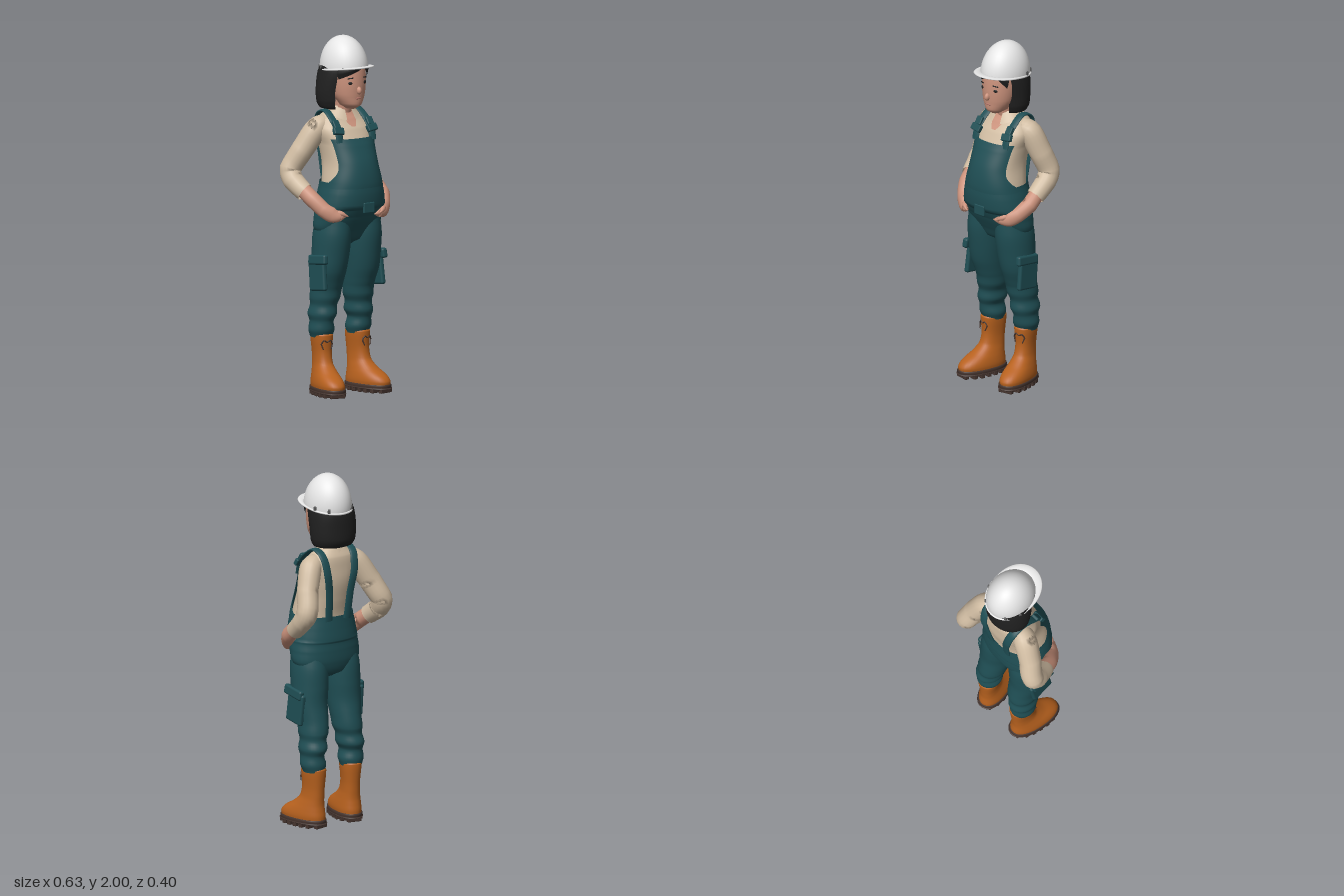
import * as THREE from 'three';
import { ParametricGeometry } from 'three/addons/geometries/ParametricGeometry.js';
import { RoundedBoxGeometry } from 'three/addons/geometries/RoundedBoxGeometry.js';

const mat = (name, color) => new THREE.MeshStandardMaterial({ name, color, side: THREE.DoubleSide });
const M = {
  skin: mat('skin', 0xcb927c), hair: mat('hair', 0x202020), shirt: mat('shirt', 0xd0bca2),
  overalls: mat('overalls', 0x1f4e54), boot: mat('boot', 0xb7611e), sole: mat('sole', 0x46352f),
  helmet: mat('helmet', 0xe6e6e6), clip: mat('clip', 0x5a5a5a), lips: mat('lips', 0xb5766a),
};
const { sin, cos, PI, abs, sign, min, max, floor } = Math;
const CX = 0.03; // the body's middle

// Smooth interpolation along rows of numbers; the first column stays linear
function at(keys, f) {
  const n = keys.length - 1, i = max(0, min(floor(f), n - 1)), s = f - i;
  const [a, b, c, d] = [keys[max(i - 1, 0)], keys[i], keys[i + 1], keys[min(i + 2, n)]];
  return b.map((q, k) => {
    if (k === 0) return q + (c[0] - q) * s;
    const cubic = 3 * (q - c[k]) + d[k] - a[k];
    const square = 2 * a[k] - 5 * q + 4 * c[k] - d[k];
    return q + 0.5 * s * (c[k] - a[k] + s * (square + s * cubic));
  });
}
function atY(keys, y) {
  let i = 0;
  while (i < keys.length - 2 && y > keys[i + 1][0]) i++;
  return at(keys, i + (y - keys[i][0]) / (keys[i + 1][0] - keys[i][0]));
}
// Point on a horizontal ring [y, cx, cz, rx, rz]; angle 0 faces the front
function onRing([y, cx, cz, rx, rz], a, out, pow, p) {
  const q = (v) => sign(v) * abs(v) ** pow;
  return p.set(cx + (rx + out) * q(sin(a)), y, cz + (rz + out) * q(cos(a)));
}
const surface = (fn, nu, nv) => new ParametricGeometry(fn, nu, nv);
// Stack of horizontal rings, optionally open at the front by an angle
const loft = (keys, { pow = 1, open = 0 } = {}) => surface((u, v, p) =>
  onRing(at(keys, v * (keys.length - 1)), open + u * 2 * (PI - open), 0, pow, p), 32, (keys.length - 1) * 4);
// Tube along rows [x, y, z, r1, r2], r1 lying along ref
function limb(keys, ref, nu = 18) {
  const n = keys.length - 1, t = new THREE.Vector3(), e1 = new THREE.Vector3(), e2 = new THREE.Vector3();
  return surface((u, v, p) => {
    const k = at(keys, v * n), h = 0.02, lo = at(keys, max(0, v * n - h)), hi = at(keys, min(n, v * n + h));
    t.set(hi[0] - lo[0], hi[1] - lo[1], hi[2] - lo[2]).normalize();
    e2.crossVectors(t, ref).normalize();
    e1.crossVectors(e2, t);
    const a = u * 2 * PI;
    p.set(k[0], k[1], k[2]).addScaledVector(e1, k[3] * cos(a)).addScaledVector(e2, k[4] * sin(a));
  }, nu, n * 5);
}

const TORSO = [[1.1, CX, .045, .18, .14], [1.2, CX, .045, .16, .145], [1.3, CX, .025, .142, .147], [1.4, CX, -.005, .148, .135],
  [1.48, CX, -.027, .165, .113], [1.54, CX, -.048, .14, .088], [1.58, CX, -.052, .09, .065], [1.61, CX, -.045, .055, .05]];
const PELVIS = [[.84, CX, 0, .04, .04], [.87, CX, 0, .14, .09], [.93, CX, .005, .203, .115], [1, CX, .02, .208, .135],
  [1.045, CX, .032, .203, .147], [1.06, CX, .038, .203, .158], [1.13, CX, .044, .19, .16], [1.2, CX, .045, .173, .157]];
const LEG = [[.32, -.095, -.06, .06, .065], [.36, -.097, -.055, .071, .076], [.41, -.1, -.05, .062, .076], [.45, -.095, -.05, .076, .091],
  [.5, -.09, -.045, .07, .083], [.54, -.085, -.04, .081, .093], [.6, -.081, -.03, .083, .095], [.7, -.083, -.005, .095, .105],
  [.8, -.078, .005, .1, .115], [.9, -.075, .013, .1, .12], [1, -.07, .02, .09, .11]];
const HEAD = [[1.6, CX, .045, .025, .035], [1.62, CX, .043, .055, .068], [1.67, CX, .03, .085, .088], [1.74, CX, .015, .1, .107],
  [1.82, CX, 0, .104, .117], [1.88, CX, 0, .09, .1]];
const HAIR = [[1.59, .02, -.055, .08, .06], [1.6, .02, -.05, .115, .092], [1.63, .02, -.052, .13, .108], [1.7, .02, -.05, .136, .115],
  [1.8, .025, -.038, .13, .126], [1.88, CX, -.02, .108, .115]];
const SLEEVES = [
  [[-.06, 1.51, -.05, .05, .05], [-.12, 1.485, -.065, .065, .065], [-.195, 1.37, -.1, .062, .064], [-.25, 1.265, -.137, .06, .06],
    [-.256, 1.205, -.105, .056, .058], [-.235, 1.145, -.025, .05, .052]],
  [[.12, 1.51, -.05, .05, .05], [.18, 1.485, -.065, .063, .065], [.226, 1.37, -.1, .06, .064], [.253, 1.265, -.137, .06, .06],
    [.261, 1.205, -.105, .056, .058], [.255, 1.135, -.025, .05, .052]]];
const HANDS = [
  [[-.243, 1.17, -.06, .042, .042], [-.22, 1.11, .025, .043, .044], [-.188, 1.055, .085, .035, .042], [-.15, 1.025, .122, .028, .042],
    [-.11, 1.015, .147, .02, .022], [-.09, 1.012, .155, .002, .002]],
  [[.26, 1.17, -.06, .042, .042], [.26, 1.1, .025, .043, .044], [.23, 1.05, .085, .035, .042], [.195, 1.025, .122, .028, .042],
    [.14, 1.015, .147, .02, .022], [.11, 1.012, .158, .002, .002]]];

export function createModel() {
  const root = new THREE.Group();
  const add = (name, geo, material, pos = [0, 0, 0], rot = [0, 0, 0], parent = root) => {
    const m = new THREE.Mesh(geo, material);
    m.name = name;
    m.position.set(...pos);
    m.rotation.set(...rot);
    parent.add(m);
  };
  const box = (w, h, d, r = .006) => new RoundedBoxGeometry(w, h, d, 2, r);

  // Shirt, neck and collar
  add('shirtTorso', loft(TORSO, { pow: .88 }), M.shirt);
  add('neck', loft([[1.54, CX, -.035, .052, .052], [1.6, CX, -.02, .047, .05], [1.7, CX, -.01, .05, .05]]), M.skin);
  add('openNeckline', surface((u, v, p) =>
    onRing(atY(TORSO, 1.5 + .095 * v), (u - .5) * (.12 + .8 * v), .005, .88, p), 8, 8), M.skin);
  add('collar', surface((u, v, p) => {
    const a = .3 + u * 2 * (PI - .3), low = 1.565 - .035 * max(0, cos(a)) ** 2;
    onRing([low + (1.602 - low) * v, CX, -.045 + .012 * (1 - v), .1 - .035 * v, .092 - .03 * v], a, 0, 1, p);
  }, 32, 5), M.shirt);

  // Overalls: seat, front bib and belt patch
  add('overallsWaist', loft(PELVIS, { pow: .9 }), M.overalls);
  add('bib', surface((u, v, p) => {
    const half = 1.03 + .75 * (1 - min(1, v * 2.2)) ** 2;
    onRing(atY(TORSO, 1.17 + .27 * v), (2 * u - 1) * half, .013, .88, p);
  }, 30, 18), M.overalls);
  add('beltPatch', box(.075, .06, .016), M.overalls, [.042, 1.06, .196]);

  for (const s of [-1, 1]) {
    const side = s < 0 ? 'right' : 'left', i = s < 0 ? 0 : 1;
    const X = (d) => CX + s * d;
    const mx = (x) => (s < 0 ? x : 2 * CX - x);
    // Shoulder straps with buckles
    const strap = [[.112, 1.42, .1], [.114, 1.485, .08], [.112, 1.545, .025], [.107, 1.585, -.045], [.102, 1.555, -.115],
      [.09, 1.46, -.143], [.07, 1.34, -.133], [.06, 1.18, -.113]].map(([d, y, z]) => [X(d), y, z, .024, .008]);
    add(side + 'Strap', limb(strap, new THREE.Vector3(1, 0, 0), 12), M.overalls);
    add(side + 'Buckle', box(.066, .04, .026), M.overalls, [X(.115), 1.485, .087], [-.5, 0, s * .15]);
    add(side + 'BuckleBar', box(.042, .05, .02), M.overalls, [X(.115), 1.52, .065], [-.6, 0, 0]);
    // Arms with hands tucked in the pockets
    const armRef = new THREE.Vector3(s * .13, -.24, -.08).cross(new THREE.Vector3(-s * .1, -.2, .26)).normalize();
    add(side + 'Sleeve', limb(SLEEVES[i], armRef), M.shirt);
    add(side + 'ForearmAndHand', limb(HANDS[i], armRef), M.skin);
    add(side + 'Thumb', limb([[X(.18), 1.045, .1, .016, .016], [X(.145), 1.035, .15, .015, .015], [X(.108), 1.018, .17, .003, .003]],
      new THREE.Vector3(0, 1, 0), 10), M.skin);
    // Trouser legs with cargo pockets
    add(side + 'TrouserLeg', loft(LEG.map(([y, x, ...r]) => [y, mx(x), ...r])), M.overalls);
    add(side + 'CargoPocket', box(.03, .18, .14, .012), M.overalls, [mx(-.168), .68, .008], [-.12, 0, s * .03]);
    add(side + 'PocketFlap', box(.034, .055, .155, .012), M.overalls, [mx(-.174), .765, .018], [-.12, 0, s * .1]);

    // Boots, toes turned out
    const boot = new THREE.Group();
    boot.name = side + 'Boot';
    boot.position.set(mx(-.094), 0, -.057);
    boot.rotation.y = s * .2;
    root.add(boot);
    const upper = [[.035, 0, .078, .07, .147], [.065, 0, .078, .073, .148], [.095, 0, .066, .069, .132], [.13, 0, .038, .06, .1],
      [.17, 0, .013, .051, .076], [.23, 0, .002, .049, .069], [.33, 0, 0, .057, .075], [.342, 0, 0, .05, .068]];
    add('bootUpper', loft(upper, { pow: .88 }), M.boot, undefined, undefined, boot);
    const rim = [[.018, 0, .078, .002, .002], [.019, 0, .078, .072, .147], [.03, 0, .078, .077, .153],
      [.046, 0, .078, .076, .152], [.048, 0, .078, .06, .13]];
    add('soleRim', loft(rim, { pow: .86 }), M.sole, undefined, undefined, boot);
    for (let k = 0; k < 7; k++) {
      const z = -.052 + k * .043, w = .135 * (1 - abs((z - .078) / .16) ** 3) + .02;
      add('soleLug', box(w, .03, .024, .004), M.sole, [0, .015, z], undefined, boot);
    }
    for (const d of [-1, 1]) {
      const lace = [[0, .295, .072, .004, .004], [d * .02, .305, .073, .004, .004], [d * .034, .285, .067, .004, .004],
        [d * .022, .255, .074, .003, .003]];
      add('lace', limb(lace, new THREE.Vector3(0, 0, 1), 6), M.sole, undefined, undefined, boot);
    }
    // Eyes and brows
    add(side + 'Eye', new THREE.SphereGeometry(1, 12, 8).scale(.012, .009, .004), M.hair, [X(.05), 1.75, .109], [0, s * .45, 0]);
    add(side + 'Brow', box(.034, .006, .006, .002), M.hair, [X(.05), 1.778, .11], [0, s * .45, -s * .12]);
  }

  // Head and hair
  add('face', loft(HEAD), M.skin);
  add('nose', new THREE.SphereGeometry(1, 14, 10).scale(.014, .022, .018), M.skin, [CX, 1.708, .122], [-.25, 0, 0]);
  add('mouth', new THREE.SphereGeometry(1, 12, 8).scale(.02, .005, .005), M.lips, [CX, 1.663, .116]);
  add('bobHair', loft(HAIR, { open: .72 }), M.hair);
  add('fringe', surface((u, v, p) => {
    const a = -1.1 + 2.2 * u, part = .4;
    const low = 1.835 - (a < part ? .065 * ((part - a) / 1.5) : .1 * (a - part));
    onRing(atY(HEAD, low + (1.87 - low) * v), a, .004 + .012 * min(1, v * 3), 1, p);
  }, 24, 8), M.hair);

  // Hard hat, tilted back a little
  const hat = new THREE.Group();
  hat.name = 'hardHat';
  hat.position.set(.032, 1.818, -.018);
  hat.rotation.x = -.12;
  root.add(hat);
  add('shell', new THREE.SphereGeometry(1, 36, 14, 0, 2 * PI, 0, PI / 2).scale(.126, .182, .15), M.helmet, undefined, undefined, hat);
  add('brim', surface((u, v, p) => {
    const a = u * 2 * PI, out = .012 + .042 * max(0, cos(a)) ** 1.5, k = .5 - .5 * cos(2 * PI * v);
    onRing([-.006 * sin(2 * PI * v), 0, 0, .122, .146], a, out * k, 1, p);
  }, 48, 10), M.helmet, undefined, undefined, hat);
  for (const a of [-2.5, -1.9, 1.9, 2.5]) {
    add('hatClip', box(.016, .024, .01, .003), M.clip, [.128 * sin(a), .014, .152 * cos(a)], [0, a, 0], hat);
  }
  return root;
}
